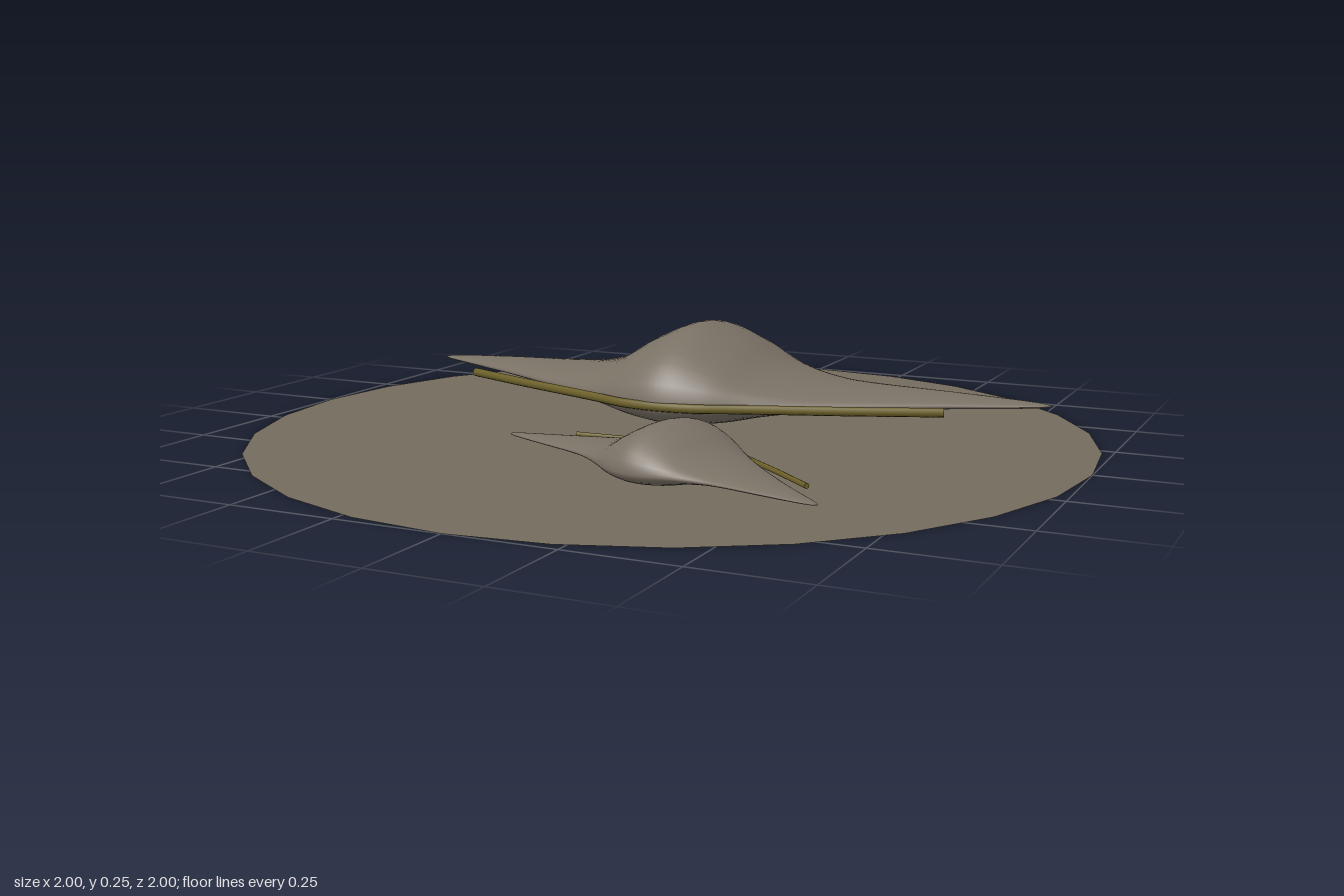
import * as THREE from 'three';

const sandMat = new THREE.MeshStandardMaterial({ color: 0x736b5c, side: THREE.DoubleSide });
sandMat.name = 'sand';
const skinMat = new THREE.MeshStandardMaterial({ color: 0x7a7165 });
skinMat.name = 'skin';
const trimMat = new THREE.MeshStandardMaterial({ color: 0x6b5f28 });
trimMat.name = 'olive trim';

// Half-span stations: x, front z, back z, height above rim, depth below rim
const STATIONS = [
  [0, 0.285, -0.285, 0.165, 0.077],
  [0.1, 0.264, -0.268, 0.13, 0.067],
  [0.2, 0.215, -0.226, 0.072, 0.045],
  [0.3, 0.16, -0.19, 0.042, 0.029],
  [0.4, 0.105, -0.172, 0.03, 0.02],
  [0.6, 0.0, -0.158, 0.019, 0.013],
  [0.75, -0.07, -0.146, 0.01, 0.008],
  [0.815, -0.1, -0.137, 0.005, 0.004],
  [0.84, -0.12, -0.12, 0, 0],
];

// Winged body lofted from half-ellipse sections along the span
function bodyGeometry() {
  const mirrored = STATIONS.slice(1).reverse().map(([x, ...r]) => [-x, ...r]);
  const all = [...mirrored, ...STATIONS];
  const curve = (a, b) => new THREE.CatmullRomCurve3(
    all.map((s) => new THREE.Vector3(s[0], s[a], s[b])), false, 'catmullrom', 0.5);
  const plan = curve(1, 2), rise = curve(3, 4);
  const rings = 96, sides = 40, pos = [], index = [];
  for (let i = 0; i <= rings; i++) {
    const p = plan.getPoint(i / rings), q = rise.getPoint(i / rings);
    const mid = (p.y + p.z) / 2, half = (p.y - p.z) / 2;
    for (let j = 0; j < sides; j++) {
      const a = (j / sides) * Math.PI * 2, s = Math.sin(a);
      pos.push(p.x, s * (s > 0 ? q.y : q.z), mid + half * Math.cos(a));
      if (i === rings) continue;
      const k = i * sides + j, n = i * sides + (j + 1) % sides;
      index.push(k, k + sides, n, n, k + sides, n + sides);
    }
  }
  const g = new THREE.BufferGeometry();
  g.setAttribute('position', new THREE.Float32BufferAttribute(pos, 3));
  g.setIndex(index);
  g.computeVertexNormals();
  return g;
}

// Thin rod following the leading edge, with capped ends
function addEdgeTrim(parent) {
  const half = [[0, 0.281], [0.09, 0.27], [0.17, 0.238], [0.27, 0.2], [0.42, 0.145], [0.63, 0.06]];
  const pts = [...half.slice(1).reverse().map(([x, z]) => [-x, z]), ...half]
    .map(([x, z]) => new THREE.Vector3(x, 0, z));
  const path = new THREE.CatmullRomCurve3(pts);
  const rod = new THREE.Mesh(new THREE.TubeGeometry(path, 48, 0.011, 8), trimMat);
  rod.name = 'leadingEdgeTrim';
  parent.add(rod);
  for (const t of [0, 1]) {
    const cap = new THREE.Mesh(new THREE.CircleGeometry(0.011, 8), trimMat);
    cap.name = 'trimCap';
    cap.position.copy(path.getPoint(t));
    cap.lookAt(cap.position.clone().addScaledVector(path.getTangent(t), t ? 1 : -1));
    parent.add(cap);
  }
}

function makeGlider(name, geometry, scale, x, z, turn) {
  const glider = new THREE.Group();
  glider.name = name;
  const body = new THREE.Mesh(geometry, skinMat);
  body.name = 'wingedBody';
  glider.add(body);
  addEdgeTrim(glider);
  glider.scale.setScalar(scale);
  glider.position.set(x, 0.081 * scale, z);
  glider.rotation.y = turn;
  return glider;
}

export function createModel() {
  const model = new THREE.Group();
  model.name = 'wingedPair';

  // Flat ground disc
  const disc = new THREE.Mesh(new THREE.CircleGeometry(1, 28), sandMat);
  disc.name = 'groundDisc';
  disc.rotation.x = -Math.PI / 2;
  model.add(disc);

  // Large and small winged bodies
  const geometry = bodyGeometry();
  model.add(makeGlider('largeGlider', geometry, 1, 0, -0.19, 0));
  model.add(makeGlider('smallGlider', geometry, 0.547, 0.212, 0.438, Math.PI - 0.35));
  return model;
}
